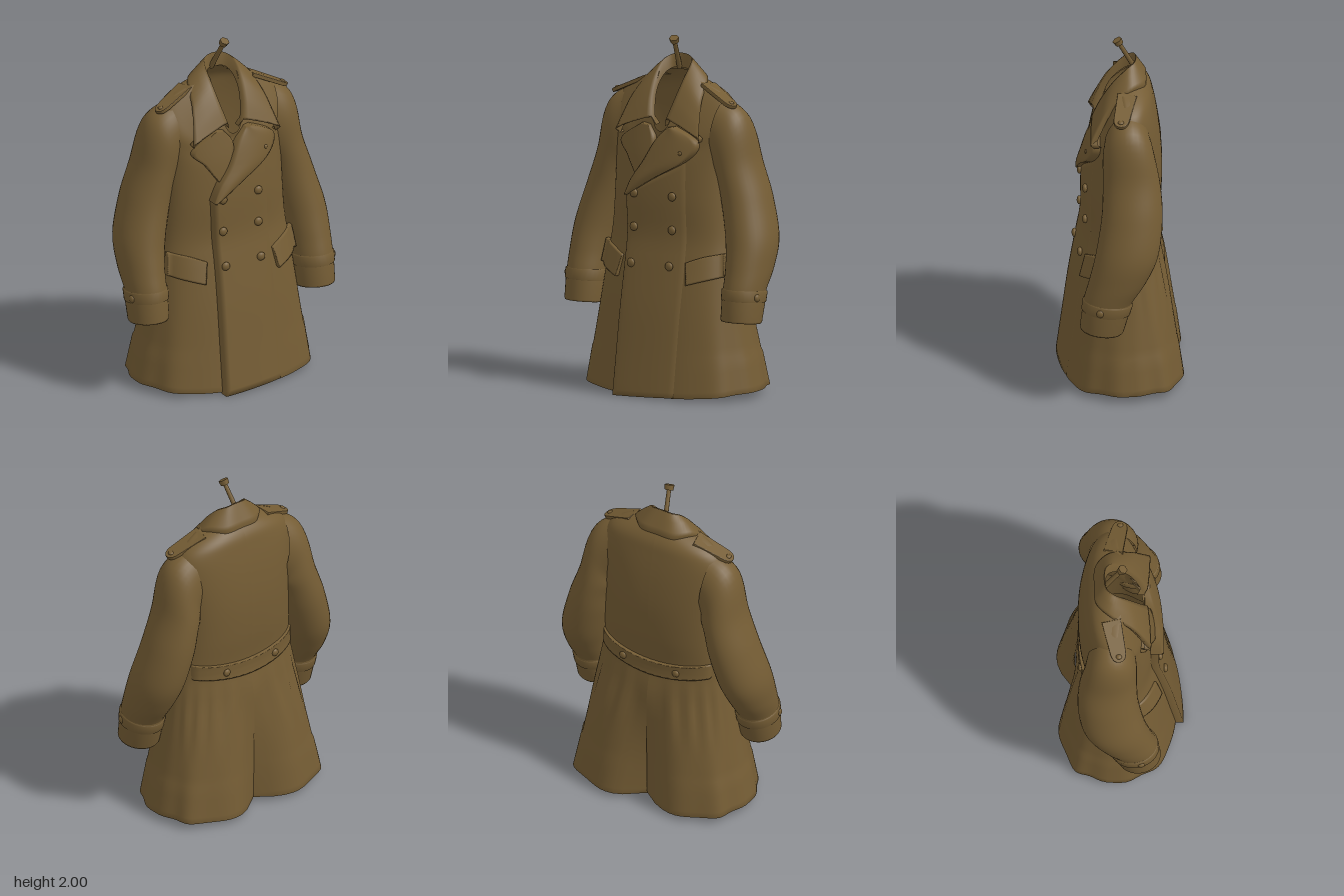
import * as THREE from 'three';

const cloth = new THREE.MeshStandardMaterial({ color: 0x745c34, side: THREE.DoubleSide });
cloth.name = 'khaki wool';
const V = (x, y, z) => new THREE.Vector3(x, y, z);

// Smooth a table of rows by Catmull-Rom interpolation of every column
function smooth(rows, per) {
  const out = [], at = (i) => rows[Math.min(Math.max(i, 0), rows.length - 1)];
  for (let i = 0; i < rows.length - 1; i++)
    for (let k = 0; k < per; k++) {
      const t = k / per;
      out.push(at(i).map((b, c) => {
        const a = at(i - 1)[c], d = at(i + 1)[c], e = at(i + 2)[c];
        return b + 0.5 * t * (d - a + t * (2 * a - 5 * b + 4 * d - e + t * (3 * (b - d) + e - a)));
      }));
    }
  out.push(rows[rows.length - 1].slice());
  return out;
}

// Skin a list of point rings
function loft(rings, closed) {
  const n = rings[0].length, idx = [];
  for (let j = 0; j < rings.length - 1; j++)
    for (let i = 0; i < (closed ? n : n - 1); i++) {
      const a = j * n + i, b = j * n + (i + 1) % n;
      idx.push(a, b, b + n, a, b + n, a + n);
    }
  const g = new THREE.BufferGeometry().setFromPoints(rings.flat());
  g.setIndex(idx);
  g.computeVertexNormals();
  return g;
}

function add(parent, name, geo) {
  const m = new THREE.Mesh(geo, cloth);
  m.name = name;
  parent.add(m);
  return m;
}

// Coat profile: height, half width, front z, back z, neckline dip
const lower = [
  [0.01, 0.53, 0.312, -0.335, 0], [0.25, 0.49, 0.28, -0.31, 0], [0.5, 0.448, 0.247, -0.28, 0],
  [0.75, 0.408, 0.205, -0.24, 0], [0.9, 0.385, 0.18, -0.218, 0], [1.1, 0.372, 0.18, -0.235, 0],
  [1.3, 0.37, 0.165, -0.238, 0],
];
const bodyRows = smooth([...lower, [1.48, 0.38, 0.145, -0.222, 0.1], [1.63, 0.37, 0.135, -0.195, 0.21],
  [1.715, 0.28, 0.13, -0.17, 0.265], [1.79, 0.085, 0.135, -0.11, 0.31]], 5);
const fitRows = smooth([...lower, [1.48, 0.38, 0.13, -0.222, 0], [1.6, 0.36, 0.1, -0.195, 0]], 5);

const POW = 2.4;
const bend = (v, n = POW) => Math.sign(v) * Math.abs(v) ** (2 / n);

// Depth of the coat's surface at x, y on the front (1) or back (-1)
function surfZ(x, y, side) {
  let i = 0;
  while (i < fitRows.length - 2 && fitRows[i + 1][0] < y) i++;
  const a = fitRows[i], b = fitRows[i + 1];
  const t = THREE.MathUtils.clamp((y - a[0]) / (b[0] - a[0]), 0, 1);
  const [, w, f, k] = a.map((v, c) => v + (b[c] - v) * t);
  const q = Math.min(Math.abs(x) / w, 0.95);
  return (f + k) / 2 + side * (f - k) / 2 * (1 - q ** POW) ** (1 / POW);
}

// Raised cloth plate between two edge curves, laid on the coat
function plate(edgeA, edgeB, off, side = 1) {
  const A = smooth(edgeA, 8), B = smooth(edgeB, 8), n = 12, rings = [];
  const row = (j, sunk) => {
    const r = [];
    for (let i = -1; i <= n + 1; i++) {
      const u = Math.min(Math.max(i / n, 0), 1);
      const x = A[j][0] + (B[j][0] - A[j][0]) * u, y = A[j][1] + (B[j][1] - A[j][1]) * u;
      const o = sunk || i < 0 || i > n ? -0.012 : off(u, j / (A.length - 1));
      r.push(V(x, y, surfZ(x, y, side) + side * o));
    }
    return r;
  };
  rings.push(row(0, true));
  A.forEach((_, j) => rings.push(row(j, false)));
  rings.push(row(A.length - 1, true));
  return loft(rings, false);
}

function button(parent, x, y, z, r = 0.025) {
  const b = add(parent, 'button', new THREE.SphereGeometry(r, 14, 10));
  b.scale.z = 0.6;
  b.position.set(x, y, z);
  return b;
}

function buildBody() {
  const N = 96;
  const ring = ([y, w, f, k, dip], shrink = 1, lift = 0) => {
    const pts = [], low = Math.max(0, 1 - y / 0.72);
    for (let i = 0; i <= N; i++) {
      const p = -Math.PI + 2 * Math.PI * i / N, s = Math.sin(p), c = Math.cos(p);
      const back = Math.max(0, -c), sideways = s * s;
      // drape folds and gathers under the belt, squarer at the back hem
      const gather = Math.max(0, 1 - Math.abs(y - 0.65) / 0.25);
      const pow = POW + (back > 0 ? 1.1 * low : 0);
      const fold = shrink + 0.025 * low * Math.sin(9 * Math.abs(p)) * sideways
        + 0.03 * gather * back * Math.cos(22 * p);
      let x = w * bend(s, pow) * fold, z = (f + k) / 2 + (f - k) / 2 * bend(c, pow) * fold;
      if (back > 0) {
        z += 0.09 * low * Math.exp(-((x / 0.08) ** 2)) - 0.025 * low * Math.exp(-(((Math.abs(x) - 0.22) / 0.1) ** 2));
        // back vent, one edge tucked behind the other
        if (p < 0) {
          x += 0.03 * low * back ** 60;
          z += 0.025 * low * back ** 60;
        }
      }
      const hem = y < 0.2 ? 0.03 * sideways + 0.015 * back : 0;
      pts.push(V(x, y + lift + hem - dip * Math.max(0, c), z));
    }
    return pts;
  };
  return loft([ring(bodyRows[0], 0.96, 0.03), ring(bodyRows[0], 0.975, 0), ...bodyRows.map((r) => ring(r))], false);
}

function buildCollar() {
  // stations: neck seam, fold line, outer edge
  const half = [
    [0, 1.8, -0.085, 0, 1.885, -0.09, 0, 1.775, -0.15],
    [0.05, 1.8, -0.07, 0.06, 1.875, -0.08, 0.11, 1.77, -0.14],
    [0.075, 1.77, -0.02, 0.09, 1.845, -0.035, 0.19, 1.76, -0.06],
    [0.075, 1.7, 0.05, 0.09, 1.765, 0.04, 0.23, 1.66, 0.06],
    [0.06, 1.6, 0.095, 0.075, 1.66, 0.105, 0.258, 1.55, 0.125],
    [0.03, 1.51, 0.13, 0.05, 1.555, 0.15, 0.28, 1.465, 0.165],
  ];
  const flip = half.slice(1).reverse().map((r) => r.map((v, i) => (i % 3 ? v : -v)));
  const rings = smooth([...flip, ...half], 6).map((r) => {
    const a = V(...r.slice(0, 3)), b = V(...r.slice(3, 6)), c = V(...r.slice(6, 9));
    const mid = (t, up) => b.clone().lerp(c, t).add(V(0, up, up * 0.5));
    const under = c.clone().lerp(V(0, c.y, 0), 0.07).add(V(0, -0.025, -0.01));
    return [a, b, mid(0.12, 0.006), mid(0.5, 0.01), mid(0.9, 0.006), c, under];
  });
  const sink = (r) => r.map((p) => p.clone().add(V(0, 0.005, -0.04)));
  return loft([sink(rings[0]), ...rings, sink(rings[rings.length - 1])], false);
}

// Tilted oval used by sleeves and cuffs
function oval(x, y, z, rx, rz, tilt = 0, slope = 0) {
  const t = tilt * Math.PI / 180, pts = [];
  for (let i = 0; i < 36; i++) {
    const a = i / 36 * Math.PI * 2, c = Math.cos(a) * rx, s = Math.sin(a) * rz;
    pts.push(V(x + c * Math.cos(t), y + c * Math.sin(t) + slope * s, z + s));
  }
  return pts;
}

function buildArm(side) {
  const arm = new THREE.Group();
  arm.name = side > 0 ? 'leftSleeve' : 'rightSleeve';
  const path = smooth([
    [0.3, 1.47, -0.04, 0.2, 0.13, 82], [0.36, 1.42, -0.045, 0.188, 0.145, 62],
    [0.405, 1.28, -0.06, 0.128, 0.16, 32], [0.458, 1.1, -0.06, 0.132, 0.17, 13],
    [0.51, 0.9, -0.03, 0.137, 0.175, 5], [0.528, 0.75, 0.022, 0.124, 0.16, 0],
    [0.53, 0.62, 0.08, 0.112, 0.135, 0], [0.53, 0.5, 0.105, 0.1, 0.11, 0],
  ], 6);
  add(arm, 'sleeve', loft(path.map((r) => oval(...r)), true));
  const cuffRing = (y, rx, rz) => oval(0.53, y, 0.11 - (y - 0.46) * 0.2, rx, rz, 0, 0.12);
  add(arm, 'cuff', loft([cuffRing(0.58, 0.095, 0.105), cuffRing(0.465, 0.1, 0.108), cuffRing(0.455, 0.108, 0.116),
    cuffRing(0.465, 0.113, 0.122), cuffRing(0.56, 0.116, 0.13), cuffRing(0.63, 0.117, 0.136), cuffRing(0.65, 0.108, 0.128)], true));
  add(arm, 'cuffStrap', loft([cuffRing(0.57, 0.112, 0.125), cuffRing(0.575, 0.121, 0.136),
    cuffRing(0.63, 0.122, 0.14), cuffRing(0.637, 0.112, 0.128)], true));
  const b = button(arm, 0.643, 0.605, 0.12, 0.022);
  b.rotation.y = Math.PI / 2;

  // shoulder strap with a rounded end
  const s = new THREE.Shape();
  s.moveTo(-0.11, -0.05).lineTo(0.07, -0.04);
  s.quadraticCurveTo(0.12, -0.035, 0.12, 0).quadraticCurveTo(0.12, 0.035, 0.07, 0.04);
  s.lineTo(-0.11, 0.05);
  const g = new THREE.ExtrudeGeometry(s, { depth: 0.014, bevelSize: 0.004, bevelThickness: 0.004, bevelSegments: 2, curveSegments: 8 });
  g.rotateX(-Math.PI / 2).rotateY(-0.2).rotateZ(-0.44).translate(0.3, 1.684, -0.018);
  add(arm, 'shoulderStrap', g);
  const sb = button(arm, 0.385, 1.659, 0.0, 0.018);
  sb.rotation.x = -Math.PI / 2;
  arm.scale.x = side;
  arm.position.z = side > 0 ? 0 : -0.015; // the right arm hangs a little further back
  return arm;
}

export function createModel() {
  const coat = new THREE.Group();
  coat.name = 'greatcoat';
  add(coat, 'body', buildBody());
  add(coat, 'collar', buildCollar());
  coat.add(buildArm(1), buildArm(-1));

  // overlapping front and lapels
  add(coat, 'frontOverlap', plate([[-0.175, 0.0], [-0.17, 0.4], [-0.165, 0.8], [-0.175, 1.13]],
    [[0.2, 0.015], [0.2, 0.4], [0.2, 0.8], [0.18, 1.33]], (u) => 0.042 * (1 - u) + 0.002));
  add(coat, 'rightLapel', plate([[-0.07, 1.51], [-0.025, 1.44], [-0.04, 1.35], [-0.12, 1.23]],
    [[-0.12, 1.515], [-0.265, 1.41], [-0.2, 1.33], [-0.13, 1.23]], () => 0.024));
  add(coat, 'leftLapel', plate([[0.065, 1.51], [0.0, 1.44], [-0.07, 1.31], [-0.14, 1.21], [-0.18, 1.12]],
    [[0.1, 1.515], [0.245, 1.44], [0.2, 1.34], [0.0, 1.22], [-0.165, 1.115]],
    (u, v) => 0.03 + 0.03 * v + 0.012 * Math.sin(u * Math.PI)));
  button(coat, 0.17, 1.38, surfZ(0.17, 1.38, 1) + 0.05, 0.012);

  // double row of buttons
  for (const y of [1.13, 0.94, 0.74])
    for (const x of [-0.12, 0.12]) button(coat, x, y, surfZ(x, y, 1) + (x < 0 ? 0.044 : 0.02));

  // pocket flaps
  for (const s of [1, -1])
    add(coat, 'pocketFlap', plate([[0.21 * s, 0.765], [0.3 * s, 0.8], [0.4 * s, 0.82]],
      [[0.235 * s, 0.645], [0.32 * s, 0.67], [0.415 * s, 0.695]], (u) => 0.014 + 0.018 * u));

  // half belt at the back
  add(coat, 'backBelt', plate([[-0.345, 0.97], [0, 0.935], [0.345, 0.97]], [[-0.345, 0.88], [0, 0.845], [0.345, 0.88]],
    () => 0.018, -1));
  for (const x of [-0.17, 0.17]) button(coat, x, 0.9, surfZ(x, 0.9, -1) - 0.02, 0.022);

  // hanging peg
  const from = V(-0.02, 1.8, -0.09), to = V(0.008, 1.975, 0.005);
  const turn = new THREE.Quaternion().setFromUnitVectors(V(0, 1, 0), to.clone().sub(from).normalize());
  const peg = add(coat, 'peg', new THREE.CylinderGeometry(0.012, 0.015, from.distanceTo(to), 8));
  peg.position.copy(from).lerp(to, 0.5);
  peg.quaternion.copy(turn);
  const knob = add(coat, 'pegKnob', new THREE.CylinderGeometry(0.028, 0.024, 0.03, 6));
  knob.position.copy(to);
  knob.quaternion.copy(turn);
  return coat;
}
